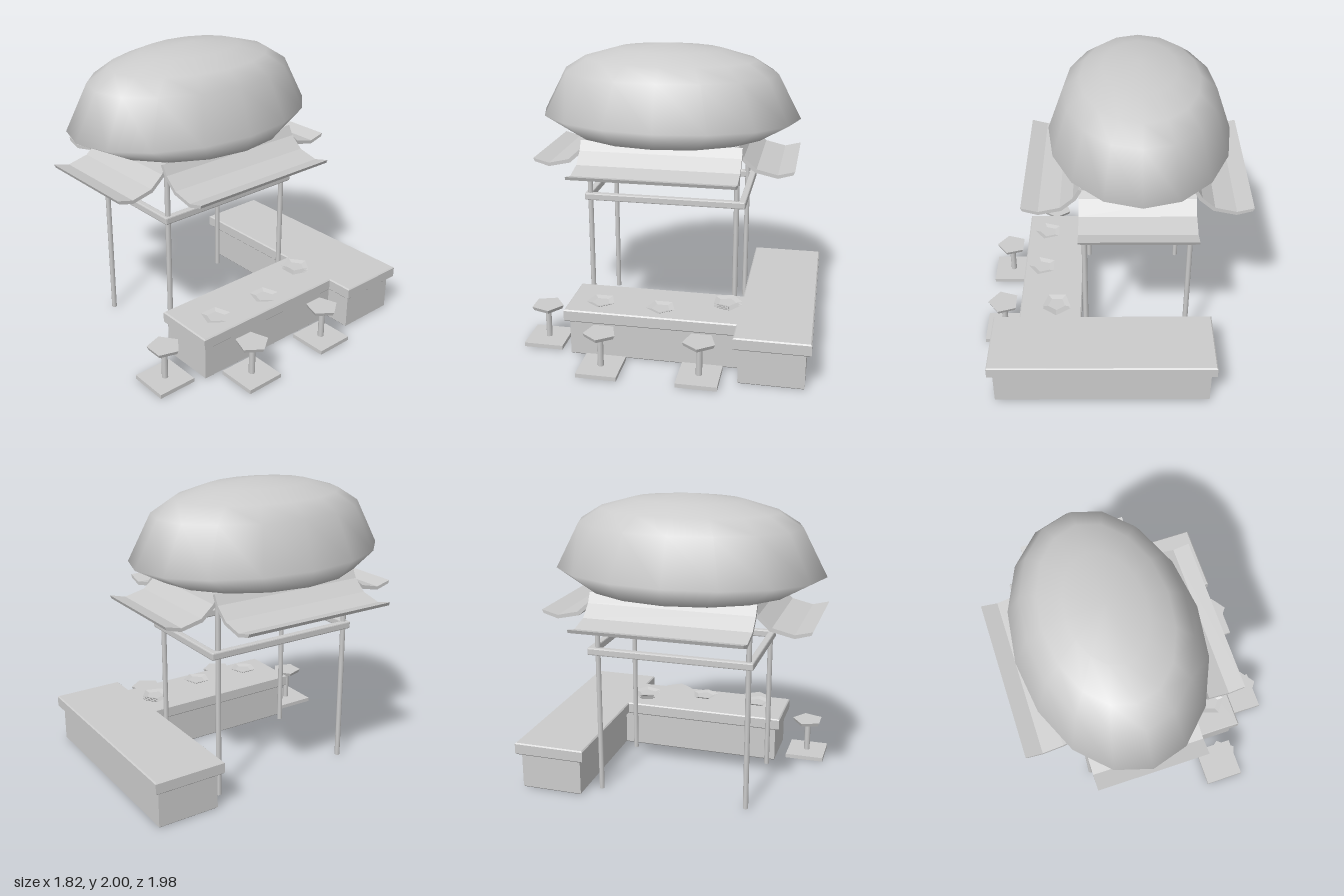
import * as THREE from 'three';
import { RoundedBoxGeometry } from 'three/addons/geometries/RoundedBoxGeometry.js';

const smooth = new THREE.MeshStandardMaterial({ color: 0xcccccc, side: THREE.DoubleSide });
const flat = new THREE.MeshStandardMaterial({ color: 0xcccccc, flatShading: true, side: THREE.DoubleSide });

function add(parent, name, geometry, x = 0, y = 0, z = 0, material = flat) {
  const mesh = new THREE.Mesh(geometry, material);
  mesh.name = name;
  mesh.position.set(x, y, z);
  parent.add(mesh);
  return mesh;
}

// L-shaped slab between two heights, drawn inset from the counter outline
function counterSlab(inset, y0, y1) {
  const i = inset, bevel = 0.008;
  const outline = [
    [-0.69 + i, -0.99 + i], [0.82 - i, -0.99 + i], [0.82 - i, -0.5 - i], [0.64 - i, -0.5 - i],
    [0.64 - i, 0.65 - i], [0.21 + i, 0.65 - i], [0.21 + i, -0.5 - i], [-0.69 + i, -0.5 - i],
  ];
  const shape = new THREE.Shape(outline.map(([x, z]) => new THREE.Vector2(x, -z)));
  const geo = new THREE.ExtrudeGeometry(shape, {
    depth: y1 - y0 - 2 * bevel, bevelThickness: bevel, bevelSize: bevel, bevelOffset: -bevel, bevelSegments: 1,
  });
  return geo.rotateX(-Math.PI / 2).translate(0, y0 + bevel, 0);
}

// Upturned awning: profile runs outward along +x, width runs along z
function awningGeometry(width) {
  const top = [[0, 1.395], [0.035, 1.33], [0.12, 1.255], [0.26, 1.222], [0.37, 1.25]];
  const under = [[0.36, 1.227], [0.26, 1.198], [0.11, 1.231], [0.015, 1.315], [-0.022, 1.385]];
  const shape = new THREE.Shape([...top, ...under].map(([x, y]) => new THREE.Vector2(x, y)));
  return new THREE.ExtrudeGeometry(shape, { depth: width, bevelEnabled: false }).translate(0, 0, -width / 2);
}

// Domed bun from elliptical rings: height, half-width, half-length
function bunGeometry() {
  const rings = [
    [1.345, 0, 0], [1.362, 0.38, 0.5], [1.4, 0.565, 0.7], [1.51, 0.605, 0.905],
    [1.81, 0.5, 0.745], [1.9, 0.39, 0.6], [1.965, 0.245, 0.37], [2, 0, 0],
  ];
  const n = 16, pos = [], index = [];
  rings.forEach(([y, rx, rz], r) => {
    for (let k = 0; k < n; k++) {
      const a = (k / n) * Math.PI * 2;
      pos.push(Math.cos(a) * rx, y, Math.sin(a) * rz);
      if (r === rings.length - 1) continue;
      const p = r * n + k, q = r * n + (k + 1) % n;
      if (r < rings.length - 2) index.push(p, p + n, q + n);
      else index.push(p, p + n, q);
      if (r > 0 && r < rings.length - 2) index.push(p, q + n, q);
    }
  });
  const geo = new THREE.BufferGeometry();
  geo.setAttribute('position', new THREE.Float32BufferAttribute(pos, 3));
  geo.setIndex(index);
  geo.computeVertexNormals();
  // poles point straight down and up
  for (let k = 0; k < n; k++) {
    geo.attributes.normal.setXYZ(k, 0, -1, 0);
    geo.attributes.normal.setXYZ((rings.length - 1) * n + k, 0, 1, 0);
  }
  return geo;
}

export function createModel() {
  const model = new THREE.Group();
  model.name = 'foodStand';

  // Counter
  add(model, 'counterBase', counterSlab(0.033, 0.005, 0.26));
  add(model, 'counterTop', counterSlab(0, 0.258, 0.342));

  // Posts and rail frame
  for (const x of [-0.515, 0.182])
    for (const z of [0.572, -0.435])
      add(model, 'post', new THREE.CylinderGeometry(0.018, 0.018, 1.385, 8), x, 0.6975, z, smooth);
  for (const z of [0.585, -0.475])
    add(model, 'crossRail', new RoundedBoxGeometry(0.76, 0.05, 0.045, 1, 0.008), -0.17, 0.995, z);
  for (const x of [-0.527, 0.189])
    add(model, 'sideRail', new RoundedBoxGeometry(0.045, 0.05, 1.1, 1, 0.008), x, 0.995, 0.055);

  // Awnings on all four sides
  const cx = -0.162, cz = 0.075;
  for (let i = 0; i < 4; i++) {
    const a = (i * Math.PI) / 2, side = i % 2 === 0;
    const start = side ? 0.373 : 0.518;
    add(model, 'awning', awningGeometry(side ? 1.09 : 0.74),
      cx + Math.cos(a) * start, 0, cz - Math.sin(a) * start).rotation.y = a;
  }

  // Giant bun on the roof
  add(model, 'roofBun', bunGeometry(), -0.182, 0, 0.085, smooth);

  // Stools: square foot, stem and pentagonal seat
  for (const [x, z, turn] of [[0.775, -0.285, Math.PI / 2], [0.775, 0.365, Math.PI / 2], [0.445, 0.825, Math.PI]]) {
    const stool = new THREE.Group();
    stool.name = 'stool';
    stool.position.set(x, 0, z);
    add(stool, 'stoolFoot', new THREE.BoxGeometry(0.27, 0.028, 0.27), 0, 0.022, 0);
    add(stool, 'stoolStem', new THREE.CylinderGeometry(0.021, 0.021, 0.22, 8), 0, 0.145, 0, smooth);
    add(stool, 'stoolSeat', new THREE.CylinderGeometry(0.112, 0.1, 0.026, 5), 0, 0.263, 0).rotation.y = turn;
    model.add(stool);
  }

  // Plates: two single, one stack of three
  const profile = [[0, 0], [0.065, 0], [0.102, 0.018], [0.062, 0.008], [0, 0.008]];
  const plate = new THREE.LatheGeometry(profile.map(([r, y]) => new THREE.Vector2(r, y)), 5);
  for (const [x, z, count, turn] of [[0.49, 0.43, 1, Math.PI / 2], [0.51, 0.015, 1, Math.PI / 2], [0.385, -0.41, 3, Math.PI]])
    for (let k = 0; k < count; k++)
      add(model, 'plate', plate, x, 0.342 + k * 0.011, z).rotation.y = turn;

  return model;
}
